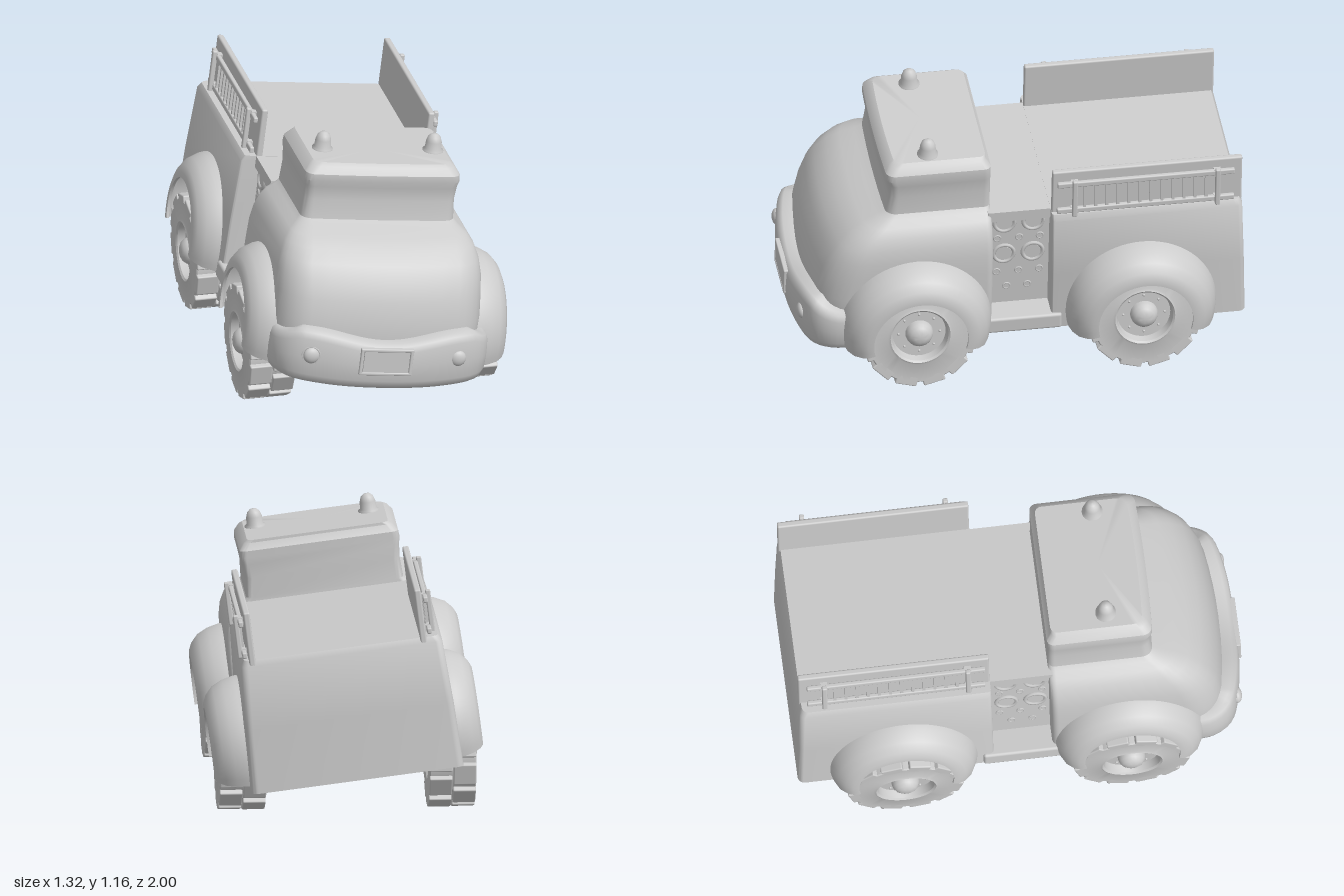
import * as THREE from 'three';
import { toCreasedNormals } from 'three/addons/utils/BufferGeometryUtils.js';
import { RoundedBoxGeometry } from 'three/addons/geometries/RoundedBoxGeometry.js';

const grey = new THREE.MeshStandardMaterial({ color: 0xcccccc });
const greyThin = new THREE.MeshStandardMaterial({ color: 0xcccccc, side: THREE.DoubleSide });

function add(parent, name, geometry, x = 0, y = 0, z = 0, material = grey) {
  const mesh = new THREE.Mesh(geometry, material);
  mesh.name = name;
  mesh.position.set(x, y, z);
  parent.add(mesh);
  return mesh;
}
const box = (w, h, d) => new THREE.BoxGeometry(w, h, d);

// Skin a stack of closed rings and cap both ends
function loft(rings, crease) {
  const n = rings[0].length, pos = [], idx = [];
  rings.forEach(r => r.forEach(p => pos.push(p.x, p.y, p.z)));
  for (let i = 0; i < rings.length - 1; i++) for (let j = 0; j < n; j++) {
    const a = i * n + j, b = i * n + (j + 1) % n;
    idx.push(a, a + n, b, b, a + n, b + n);
  }
  [0, rings.length - 1].forEach((k, end) => {
    const c = rings[k].reduce((s, p) => s.add(p), new THREE.Vector3()).divideScalar(n);
    const ci = pos.length / 3;
    pos.push(c.x, c.y, c.z);
    for (let j = 0; j < n; j++) {
      const a = k * n + j, b = k * n + (j + 1) % n;
      idx.push(ci, end ? b : a, end ? a : b);
    }
  });
  const g = new THREE.BufferGeometry();
  g.setAttribute('position', new THREE.Float32BufferAttribute(pos, 3));
  g.setIndex(idx);
  return toCreasedNormals(g, crease);
}

// Horizontal rounded rectangle with a bowed front edge
function planRing(y, w, back, front, rFront, rBack, bow = 0) {
  const pts = [];
  const corner = (cx, cz, r, start) => {
    for (let i = 0; i <= 6; i++) {
      const a = start + (i / 6) * Math.PI / 2;
      pts.push(new THREE.Vector3(cx + r * Math.cos(a), y, cz + r * Math.sin(a)));
    }
  };
  const f = front - bow;
  corner(w - rFront, f - rFront, rFront, 0);
  for (let i = 1; i < 8; i++) pts.push(new THREE.Vector3((w - rFront) * (1 - i / 4), y, f));
  corner(-w + rFront, f - rFront, rFront, Math.PI / 2);
  corner(-w + rBack, back + rBack, rBack, Math.PI);
  corner(w - rBack, back + rBack, rBack, Math.PI * 1.5);
  pts.forEach(p => { if (p.z > f - rFront) p.z += bow * (1 - (p.x / w) ** 2); });
  return pts;
}

// Lathe whose axis is x: points are [radius, x]
function latheX(points, segs, start = 0, length = Math.PI * 2) {
  const g = new THREE.LatheGeometry(points.map(p => new THREE.Vector2(...p)), segs, start, length);
  return toCreasedNormals(g.rotateZ(-Math.PI / 2), 0.6);
}

function makeWheel() {
  const wheel = new THREE.Group();
  wheel.name = 'wheel';
  add(wheel, 'tyre', latheX([[0.001, -0.09], [0.12, -0.09], [0.13, -0.1], [0.225, -0.1], [0.23, -0.095], [0.23, 0.095],
    [0.225, 0.1], [0.14, 0.1], [0.13, 0.105], [0.122, 0.098], [0.115, 0.065], [0.001, 0.065]], 48), 0, 0, 0, greyThin);
  // Two staggered rows of tread lugs
  for (const row of [-1, 1]) for (let i = 0; i < 12; i++) {
    const a = (i + (row > 0 ? 0.5 : 0)) / 12 * Math.PI * 2;
    const lug = add(wheel, 'treadLug', new RoundedBoxGeometry(0.098, 0.05, 0.096, 2, 0.006),
      row * 0.051, Math.cos(a) * 0.222, Math.sin(a) * 0.222);
    lug.rotation.x = a;
  }
  add(wheel, 'hubCap', latheX([[0.06, 0.064], [0.059, 0.078], [0.054, 0.092], [0.042, 0.107], [0.024, 0.116], [0.001, 0.119]], 24),
    0, 0, 0, greyThin);
  for (let i = 0; i < 8; i++) {
    const a = i / 8 * Math.PI * 2;
    add(wheel, 'wheelBolt', new THREE.SphereGeometry(0.006, 8, 6), 0.066, Math.cos(a) * 0.09, Math.sin(a) * 0.09);
  }
  return wheel;
}

function makeBumper() {
  const half = [[0.455, 0.74], [0.445, 0.83], [0.4, 0.895], [0.25, 0.94]];
  const plan = [...half, [0, 0.955], ...half.slice().reverse().map(([x, z]) => [-x, z])];
  const curve = new THREE.CatmullRomCurve3(plan.map(([x, z]) => new THREE.Vector3(x, 0, z)));
  const rings = [];
  for (let i = 0; i <= 48; i++) {
    const p = curve.getPointAt(i / 48), t = curve.getTangentAt(i / 48);
    const out = new THREE.Vector3(0, 1, 0).cross(t);
    const k = Math.abs(p.x) / 0.455;
    const top = 0.39 + 0.05 * Math.sin(Math.min(k / 0.8, 1) * Math.PI / 2) ** 2 - 0.04 * Math.max(0, k - 0.85) / 0.15;
    const low = 0.185 + 0.025 * k * k;
    const section = [[-0.06, top], [0, top], [0.018, top - 0.012], [0.027, top - 0.04], [0.03, (top + low) / 2],
      [0.027, low + 0.04], [0.015, low + 0.01], [0, low], [-0.06, low]];
    rings.push(section.map(([o, y]) => new THREE.Vector3(p.x + out.x * o, y, p.z + out.z * o)));
  }
  return loft(rings, 0.9);
}

function makeFender() {
  const profile = [[0.33, 0.34], [0.326, 0.46], [0.314, 0.51], [0.292, 0.555], [0.26, 0.585], [0.23, 0.599],
    [0.205, 0.6], [0.205, 0.588], [0.235, 0.583], [0.27, 0.555], [0.285, 0.5], [0.285, 0.34]];
  return latheX(profile, 40, -Math.PI - 0.26, Math.PI + 0.52);
}

function makeLadder() {
  const ladder = new THREE.Group();
  ladder.name = 'ladder';
  for (const y of [0.817, 0.955]) add(ladder, 'ladderRail', new RoundedBoxGeometry(0.02, 0.026, 0.77, 2, 0.006), 0, y, -0.52);
  for (let i = 0; i < 12; i++) add(ladder, 'rung', box(0.012, 0.13, 0.013), 0, 0.886, -0.255 - i * 0.048);
  for (const z of [-0.21, -0.83]) {
    add(ladder, 'ladderPost', new RoundedBoxGeometry(0.022, 0.19, 0.022, 2, 0.006), 0.016, 0.888, z);
    for (const y of [0.817, 0.955]) add(ladder, 'ladderBracket', box(0.04, 0.03, 0.03), -0.015, y, z);
  }
  return ladder;
}

export function createModel() {
  const model = new THREE.Group();
  model.name = 'toyFireTruck';
  model.rotation.y = 0.11;

  // Body leans to its left while the wheels stay upright
  const body = new THREE.Group();
  body.name = 'body';
  body.position.x = -0.055;
  body.rotation.z = -0.123;
  model.add(body);

  // Cab: height, half width, front, corner radius, bow
  const cab = [[0.22, 0.44, 0.895, 0.13, 0.05], [0.3, 0.452, 0.915, 0.13, 0.05], [0.45, 0.455, 0.91, 0.13, 0.05],
    [0.55, 0.453, 0.89, 0.13, 0.05], [0.63, 0.449, 0.86, 0.12, 0.05], [0.69, 0.438, 0.82, 0.11, 0.045],
    [0.74, 0.418, 0.765, 0.1, 0.035], [0.775, 0.39, 0.705, 0.08, 0.025], [0.797, 0.357, 0.64, 0.06, 0.015],
    [0.815, 0.34, 0.602, 0.045, 0.01], [0.9, 0.335, 0.59, 0.04, 0.01], [0.96, 0.34, 0.594, 0.04, 0.01],
    [0.99, 0.346, 0.604, 0.04, 0.01], [1.02, 0.343, 0.603, 0.04, 0.01], [1.05, 0.322, 0.584, 0.04, 0.01],
    [1.062, 0.305, 0.565, 0.04, 0.01]];
  add(body, 'cab', loft(cab.map(([y, w, f, r, b]) =>
    planRing(y, w, y > 1.03 ? 0.16 : 0.14, f, r, 0.03, b)), 0.5));

  // Rear body, deck, pump section and running boards
  add(body, 'rearBody', loft([[0.22, 0.458, -0.96], [0.5, 0.45, -0.952], [0.775, 0.435, -0.942], [0.8, 0.42, -0.93]]
    .map(([y, w, b]) => planRing(y, w, b, -0.115, 0.015, 0.03)), 0.7));
  add(body, 'deck', box(0.74, 0.05, 0.29), 0, 0.774, 0.01);
  add(body, 'pumpSection', box(0.7, 0.54, 0.3), 0, 0.49, 0.01);
  add(body, 'runningBoard', new RoundedBoxGeometry(0.94, 0.075, 0.34, 2, 0.012), 0, 0.258, 0.01);

  // Gauges as [height, z, radius]
  const gauges = [];
  for (const y of [0.728, 0.562]) for (const z of [0.08, -0.045]) gauges.push([y, z, 0.044]);
  for (const y of [0.645, 0.465]) for (const z of [0.11, 0.015, -0.075]) gauges.push([y, z, 0.014]);
  for (const z of [0.065, -0.025]) gauges.push([0.385, z, 0.014]);

  const beacon = new THREE.LatheGeometry([[0.045, -0.01], [0.045, 0.008], [0.036, 0.014], [0.034, 0.045], [0.027, 0.066],
    [0.014, 0.078], [0.001, 0.08]].map(p => new THREE.Vector2(...p)), 24);

  for (const side of [1, -1]) {
    const left = side > 0, turn = left ? 0 : Math.PI;
    add(body, 'sidePanel', new RoundedBoxGeometry(0.028, 0.24, 0.825, 2, 0.008), left ? 0.385 : -0.355, 0.893, -0.528);
    const ladder = makeLadder();
    ladder.position.x = left ? 0.413 : -0.386;
    if (!left) { ladder.rotation.y = Math.PI; ladder.position.z = -1.04; }
    body.add(ladder);
    for (const [y, z, r] of gauges) {
      const ring = add(body, 'gaugeRing', new THREE.TorusGeometry(r, r * 0.15 + 0.002, 6, 24), side * 0.352, y, z);
      ring.rotation.y = Math.PI / 2;
      const face = add(body, 'gaugeFace', new THREE.CylinderGeometry(r * 0.8, r * 0.8, 0.008, 20), side * 0.35, y, z);
      face.rotation.z = Math.PI / 2;
    }
    add(body, 'beacon', beacon, left ? 0.255 : -0.236, 1.06, 0.405);

    const lamp = add(body, 'headlight', new THREE.SphereGeometry(0.036, 20, 14), side * 0.325, 0.328, 0.95);
    lamp.scale.z = 0.6;
    const lampRing = add(body, 'headlightRing', new THREE.TorusGeometry(0.038, 0.006, 8, 28), side * 0.325, 0.328, 0.947);
    lampRing.rotation.y = side * 0.25;

    for (const z of [0.473, -0.503]) {
      const fender = add(body, 'fender', makeFender(), left ? 0 : 0.04, 0.307, z, greyThin);
      fender.rotation.y = turn;
      const wheel = makeWheel();
      wheel.position.set(side * 0.45, 0.248, z);
      wheel.rotation.y = turn;
      model.add(wheel);
    }
  }

  // Front bumper and blank plate with a raised rim
  add(body, 'bumper', makeBumper(), 0.008);
  add(body, 'plate', box(0.2, 0.1, 0.02), 0, 0.318, 0.98);
  for (const s of [1, -1]) {
    add(body, 'plateRim', new RoundedBoxGeometry(0.235, 0.014, 0.026, 2, 0.005), 0, 0.318 + s * 0.054, 0.98);
    add(body, 'plateRim', new RoundedBoxGeometry(0.014, 0.12, 0.026, 2, 0.005), s * 0.11, 0.318, 0.98);
  }
  return model;
}
